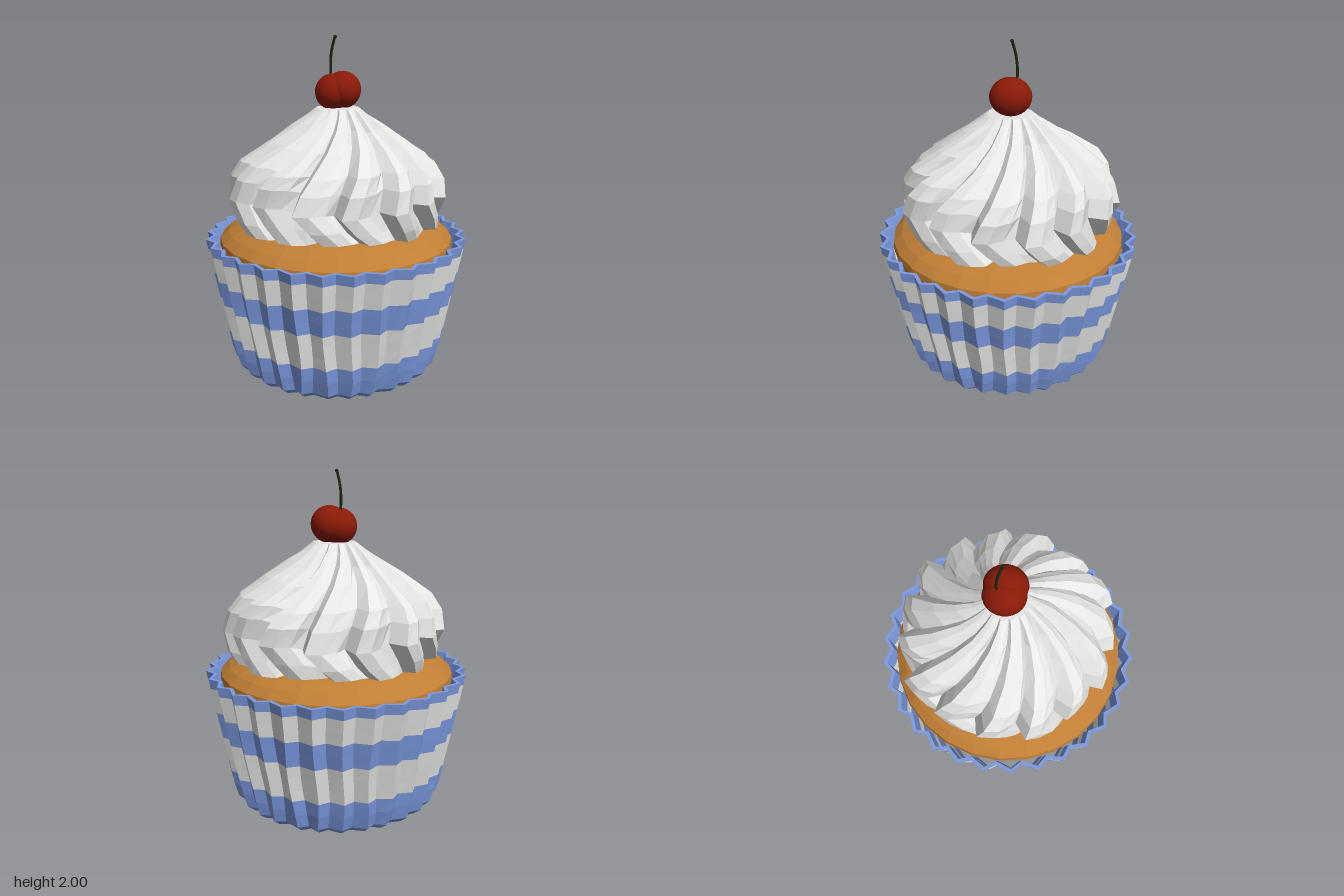
import * as THREE from 'three';

const flat = (name, color) => {
  const m = new THREE.MeshStandardMaterial({ color, flatShading: true });
  m.name = name;
  return m;
};

// Skin a stack of closed rings; point(row, col) returns [x, y, z]
function loft(rows, cols, point) {
  const pos = [], idx = [];
  for (let j = 0; j < rows; j++)
    for (let i = 0; i < cols; i++) pos.push(...point(j, i));
  for (let j = 0; j < rows - 1; j++)
    for (let i = 0; i < cols; i++) {
      const n = (i + 1) % cols;
      const a = j * cols + i, b = j * cols + n, c = b + cols, d = a + cols;
      idx.push(a, b, c, a, c, d);
    }
  const g = new THREE.BufferGeometry();
  g.setAttribute('position', new THREE.Float32BufferAttribute(pos, 3));
  g.setIndex(idx);
  g.computeVertexNormals();
  return g;
}

const polar = (r, a, y) => [r * Math.sin(a), y, r * Math.cos(a)];

export function createModel() {
  const group = new THREE.Group();
  const blue = flat('wrapper blue', 0x7c9ae0);
  const white = flat('wrapper white', 0xe4e4e2);
  const cream = flat('frosting cream', 0xe6e6e4);
  const sponge = flat('sponge brown', 0xc07e35);
  const red = new THREE.MeshStandardMaterial({ color: 0x8a1a08 });
  red.name = 'cherry red';
  const dark = new THREE.MeshStandardMaterial({ color: 0x1e2812 });
  dark.name = 'stem green';

  const add = (name, geometry, material, parent = group) => {
    const mesh = new THREE.Mesh(geometry, material);
    mesh.name = name;
    parent.add(mesh);
    return mesh;
  };

  // Pleated paper wrapper, one mesh per stripe
  const wrapper = new THREE.Group();
  wrapper.name = 'wrapper';
  group.add(wrapper);
  const pleats = 30, step = (Math.PI * 2) / pleats;
  const wallR = (y) => 0.63 + y * 0.189;
  const pleated = (profile) => loft(profile.length, pleats * 2, (j, i) => {
    const [r, y] = profile[j];
    const k = Math.floor(i / 2), valley = i % 2;
    const sway = 0.025 * Math.sin(y * 8 + Math.sin(k * 2.3)) * (1 - y / 0.83);
    return polar(r * (valley ? 0.943 : 1), (k + valley * 0.42) * step + sway, y);
  });
  const wall = (ys, inset = 0) => ys.map((y) => [wallR(y) - inset, y]);
  add('wrapperBase', pleated([[0, 0.004], [0.5, 0], [0.585, 0.02], [0.632, 0.06], ...wall([0.15, 0.24])]), blue, wrapper);
  add('lowerWhiteStripe', pleated(wall([0.24, 0.31, 0.39, 0.46])), white, wrapper);
  add('middleBlueStripe', pleated(wall([0.46, 0.54, 0.615])), blue, wrapper);
  add('upperWhiteStripe', pleated(wall([0.615, 0.69, 0.77])), white, wrapper);
  add('wrapperRim', pleated([...wall([0.77, 0.83]), ...wall([0.83, 0.71], 0.024)]), blue, wrapper);
  add('innerWhiteStripe', pleated(wall([0.71, 0.615], 0.024)), white, wrapper);
  add('innerBlueStripe', pleated(wall([0.615, 0.46], 0.024)), blue, wrapper);

  // Domed sponge
  const dome = [[0.56, 0.1], [0.66, 0.65], [0.705, 0.78], [0.7, 0.82], [0.65, 0.865],
    [0.57, 0.905], [0.45, 0.935], [0.25, 0.95], [0, 0.955]];
  add('cake', new THREE.LatheGeometry(dome.map(([r, y]) => new THREE.Vector2(r, y)), 26), sponge);

  // Swirled frosting: [radius, height, groove depth, twist]
  const rings = [
    [0.4, 0.94, 0.05, 0.25], [0.61, 0.92, 0.1, 0.24], [0.635, 0.99, 0.13, 0.13],
    [0.655, 1.09, 0.16, 0], [0.63, 1.2, 0.16, 0.06], [0.57, 1.28, 0.17, 0.13],
    [0.415, 1.385, 0.17, 0.24], [0.275, 1.475, 0.18, 0.35], [0.18, 1.545, 0.16, 0.42],
    [0.128, 1.587, 0.1, 0.45], [0, 1.59, 0, 0.45],
  ];
  const lobes = 15;
  const section = [[-0.16, 0], [0, 1], [0.32, 0.9], [0.62, 0.45]];
  add('frosting', loft(rings.length, lobes * section.length, (j, i) => {
    const [r, y, depth, twist] = rings[j];
    const k = Math.floor(i / section.length);
    const [phase, height] = section[i % section.length];
    const wobble = r * 0.02 * Math.sin(k * 2.4 + j * 0.9);
    const a = ((k + phase) / lobes) * Math.PI * 2 + 0.34 + twist + wobble;
    const lift = j > 0 && j < 8 ? 0.012 * Math.sin(k * 1.7 + j) : 0;
    return polar(r * (1 - depth * (1 - height)) + wobble, a, y + lift);
  }), cream).position.z = -0.015;

  // Cherry of two plump halves pressed together along a cleft
  const cherry = new THREE.Group();
  cherry.name = 'cherry';
  group.add(cherry);
  for (const [name, r, x, y, z] of [
    ['cherryBackHalf', 0.108, 0.018, 1.689, -0.039],
    ['cherryFrontHalf', 0.106, -0.022, 1.677, 0],
  ]) {
    const half = add(name, new THREE.SphereGeometry(r, 24, 16), red, cherry);
    half.position.set(x, y, z);
    half.rotation.y = Math.PI / 4;
    half.scale.z = 1.12;
  }

  // Bent stem
  const path = new THREE.CatmullRomCurve3([
    [-0.045, 1.72, -0.02], [-0.058, 1.8, -0.02], [-0.05, 1.9, -0.017], [-0.018, 1.997, -0.014],
  ].map((p) => new THREE.Vector3(...p)));
  add('cherryStem', new THREE.TubeGeometry(path, 14, 0.008, 7), dark, cherry);
  add('stemTip', new THREE.SphereGeometry(0.01, 8, 6), dark, cherry).position.set(-0.018, 1.99, -0.014);

  return group;
}
